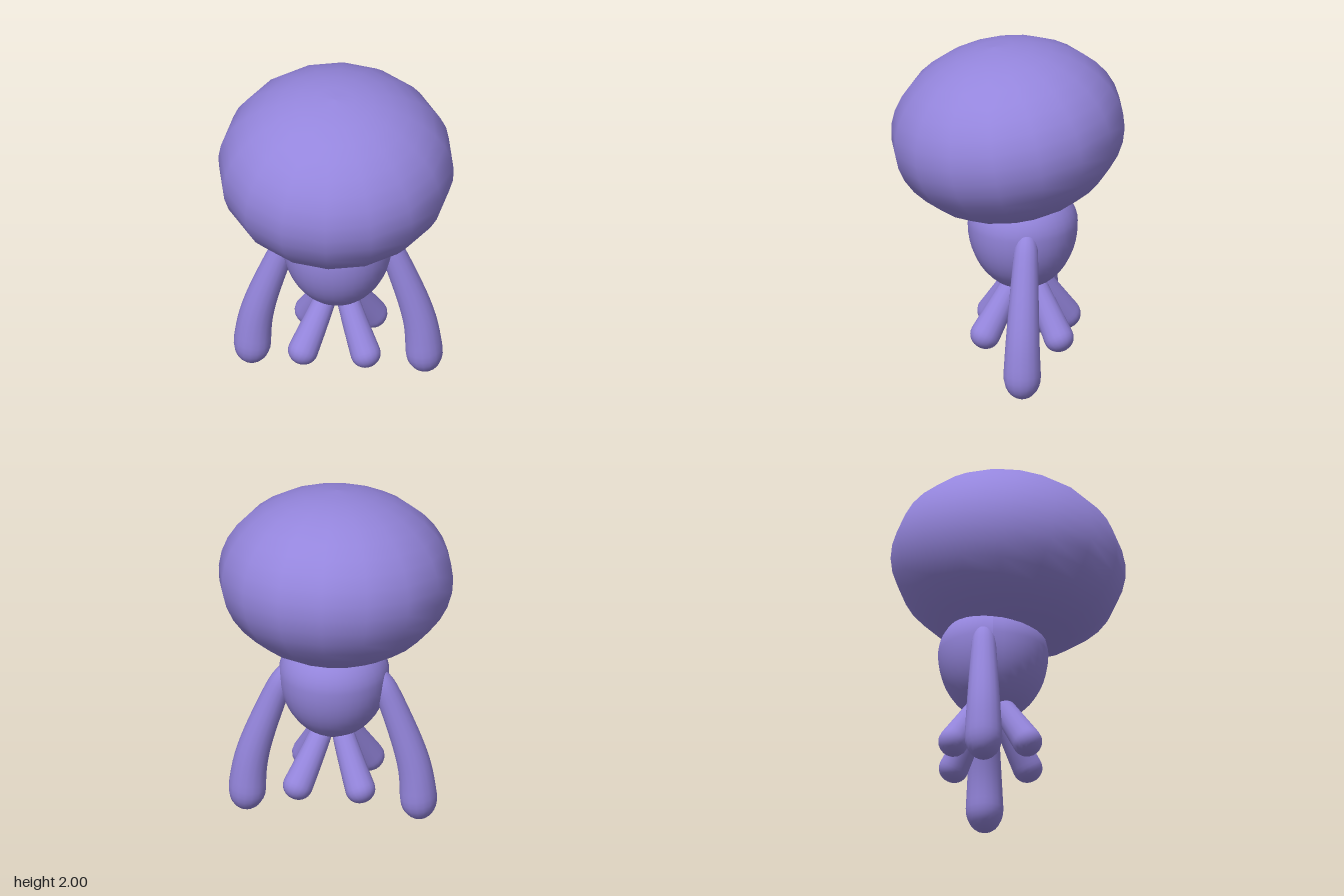
import * as THREE from 'three';
import { mergeVertices } from 'three/addons/utils/BufferGeometryUtils.js';

const material = new THREE.MeshStandardMaterial({ color: 0x9485dc });

function addMesh(parent, geometry, name) {
  const mesh = new THREE.Mesh(geometry, material);
  mesh.name = name;
  parent.add(mesh);
  return mesh;
}

// Tapered limb with rounded ends, swept along a smooth path
function limbGeometry(points, r0, r1, cap0, cap1) {
  const rings = 28, sides = 16;
  const curve = new THREE.CatmullRomCurve3(points.map(p => new THREE.Vector3(...p)));
  const length = curve.getLength();
  const geometry = new THREE.TubeGeometry(curve, rings, 1, sides, false);
  const pos = geometry.attributes.position, nor = geometry.attributes.normal;
  const round = (d, cap) => (d >= cap ? 1 : Math.sqrt(Math.max(0, 1 - (1 - d / cap) ** 2)));
  for (let i = 0; i <= rings; i++) {
    // rings crowd towards both ends so the caps stay round
    const t = (1 - Math.cos(Math.PI * i / rings)) / 2;
    const centre = curve.getPointAt(t);
    const r = (r0 + (r1 - r0) * t) * round(t * length, cap0) * round((1 - t) * length, cap1);
    for (let j = 0; j <= sides; j++) {
      const k = i * (sides + 1) + j;
      pos.setXYZ(k, centre.x + nor.getX(k) * r, centre.y + nor.getY(k) * r, centre.z + nor.getZ(k) * r);
    }
  }
  geometry.deleteAttribute('normal');
  geometry.deleteAttribute('uv');
  const merged = mergeVertices(geometry, 1e-4);
  merged.computeVertexNormals();
  return merged;
}

export function createModel() {
  const model = new THREE.Group();
  model.name = 'creature';

  // Head: sixteen-sided ellipsoid cap, tipped forward, with a flat underside
  const head = new THREE.Group();
  head.name = 'head';
  head.position.set(0, 1.475, 0);
  head.rotation.x = 0.16;
  model.add(head);
  const R = 0.685, H = 0.52, cut = -Math.acos(0.28 / R);
  const profile = [];
  for (let i = 0; i <= 16; i++) {
    const a = cut + (Math.PI / 2 - cut) * i / 16;
    profile.push(new THREE.Vector2(i === 16 ? 0 : R * Math.cos(a), H * Math.sin(a)));
  }
  addMesh(head, new THREE.LatheGeometry(profile, 16), 'headDome');
  const underside = addMesh(head, new THREE.CircleGeometry(0.28, 16), 'headUnderside');
  underside.rotation.x = Math.PI / 2;
  underside.position.y = H * Math.sin(cut);

  // Body: egg with a long lower half and a shallow top
  const bodyGeometry = new THREE.SphereGeometry(0.32, 32, 24);
  const bp = bodyGeometry.attributes.position;
  for (let i = 0; i < bp.count; i++) {
    const y = bp.getY(i);
    bp.setY(i, y * (y < 0 ? 0.4 : 0.26) / 0.32);
  }
  bodyGeometry.computeVertexNormals();
  addMesh(model, bodyGeometry, 'body').position.set(0, 0.9, -0.087);

  for (const side of [1, -1]) {
    const label = side > 0 ? 'left' : 'right';
    // Long arms hanging outwards
    addMesh(model, limbGeometry([
      [side * 0.25, 0.96, -0.14], [side * 0.355, 0.71, -0.14],
      [side * 0.475, 0.34, -0.14], [side * 0.51, 0.004, -0.14],
    ], 0.064, 0.117, 0.15, 0.15), label + 'Arm');

    // Four short legs splayed along the diagonals
    for (const front of [1, -1]) {
      addMesh(model, limbGeometry([
        [side * 0.05, 0.57, -0.103 + front * 0.05],
        [side * 0.125, 0.39, -0.103 + front * 0.145],
        [side * 0.212, 0.19, -0.103 + front * 0.25],
      ], 0.062, 0.094, 0.06, 0.09), label + (front > 0 ? 'FrontLeg' : 'BackLeg'));
    }
  }
  return model;
}
